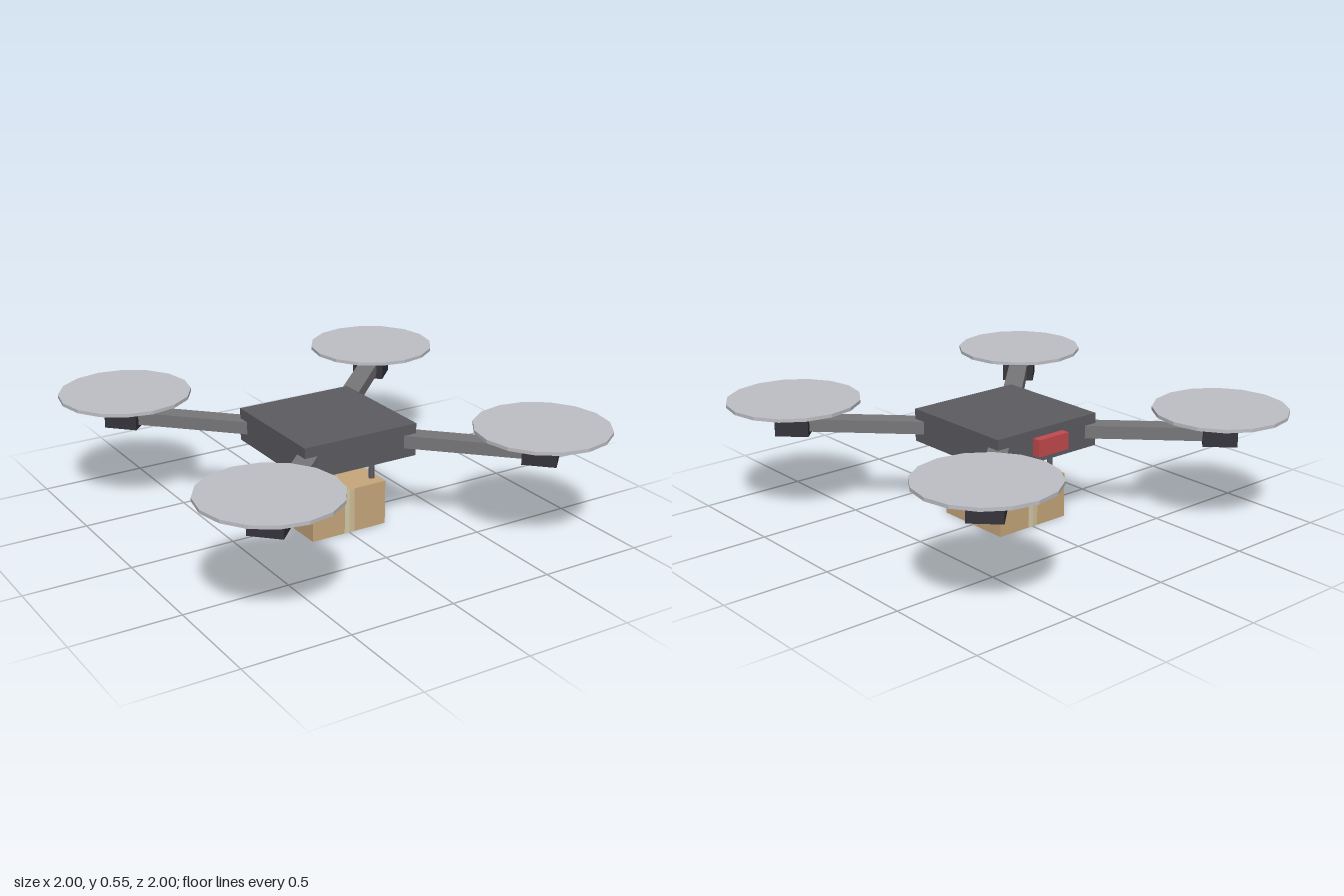
import * as THREE from 'three';

const mat = (color) => new THREE.MeshStandardMaterial({ color, flatShading: true });

export function createModel() {
  const model = new THREE.Group();
  model.name = 'deliveryDrone';

  const bodyMat = mat(0x5c5c62), armMat = mat(0x77777a), motorMat = mat(0x33333a);
  const rotorMat = mat(0xbfc0c6), strutMat = mat(0x5c5c62), cartonMat = mat(0xc8a87c);
  const tapeMat = mat(0xd6cdac), tapeEdgeMat = mat(0xd2bf98), lampMat = mat(0xc44a4e);

  const add = (parent, name, geometry, material, x, y, z) => {
    const mesh = new THREE.Mesh(geometry, material);
    mesh.name = name;
    mesh.position.set(x, y, z);
    parent.add(mesh);
    return mesh;
  };
  const box = (w, h, d) => new THREE.BoxGeometry(w, h, d);

  // Body and rear lamp
  add(model, 'body', box(0.584, 0.155, 0.584), bodyMat, 0, 0.432, 0);
  add(model, 'rearLamp', box(0.175, 0.08, 0.06), lampMat, 0, 0.432, -0.302);

  // Four diagonal arms, each built along +x and turned into place
  const reach = 0.69 * Math.SQRT2;
  const armGeo = box(reach - 0.25, 0.06, 0.092);
  const motorGeo = box(0.155, 0.135, 0.155);
  const rotorGeo = new THREE.CylinderGeometry(0.31, 0.31, 0.016, 16);
  const shaftGeo = new THREE.CylinderGeometry(0.015, 0.015, 0.03, 8);
  for (let i = 0; i < 4; i++) {
    const arm = new THREE.Group();
    arm.name = 'rotorArm';
    arm.rotation.y = Math.PI / 4 + i * Math.PI / 2;
    add(arm, 'arm', armGeo, armMat, (reach + 0.25) / 2, 0.431, 0);
    add(arm, 'motor', motorGeo, motorMat, reach, 0.4525, 0);
    add(arm, 'shaft', shaftGeo, motorMat, reach, 0.522, 0);
    // Undo the 45 degree turn so rotor corners point along the axes
    add(arm, 'rotorDisc', rotorGeo, rotorMat, reach, 0.538, 0).rotation.y = -Math.PI / 4;
    model.add(arm);
  }

  // Struts that carry the parcel
  const strutGeo = new THREE.CylinderGeometry(0.0135, 0.0135, 0.17, 8);
  for (const x of [-0.16, 0.16]) {
    for (const z of [-0.132, 0.132]) add(model, 'strut', strutGeo, strutMat, x, 0.285, z);
  }

  // Parcel with a two-tone tape strip on each side
  const parcel = new THREE.Group();
  parcel.name = 'parcel';
  add(parcel, 'carton', box(0.39, 0.214, 0.39), cartonMat, 0, 0.107, 0);
  const tapeGeo = box(0.026, 0.214, 0.004);
  for (let i = 0; i < 4; i++) {
    const side = new THREE.Group();
    side.name = 'tape';
    side.rotation.y = i * Math.PI / 2;
    add(side, 'tapeStrip', tapeGeo, tapeMat, -0.013, 0.107, 0.195);
    add(side, 'tapeStrip', tapeGeo, tapeEdgeMat, 0.013, 0.107, 0.195);
    parcel.add(side);
  }
  model.add(parcel);

  return model;
}
